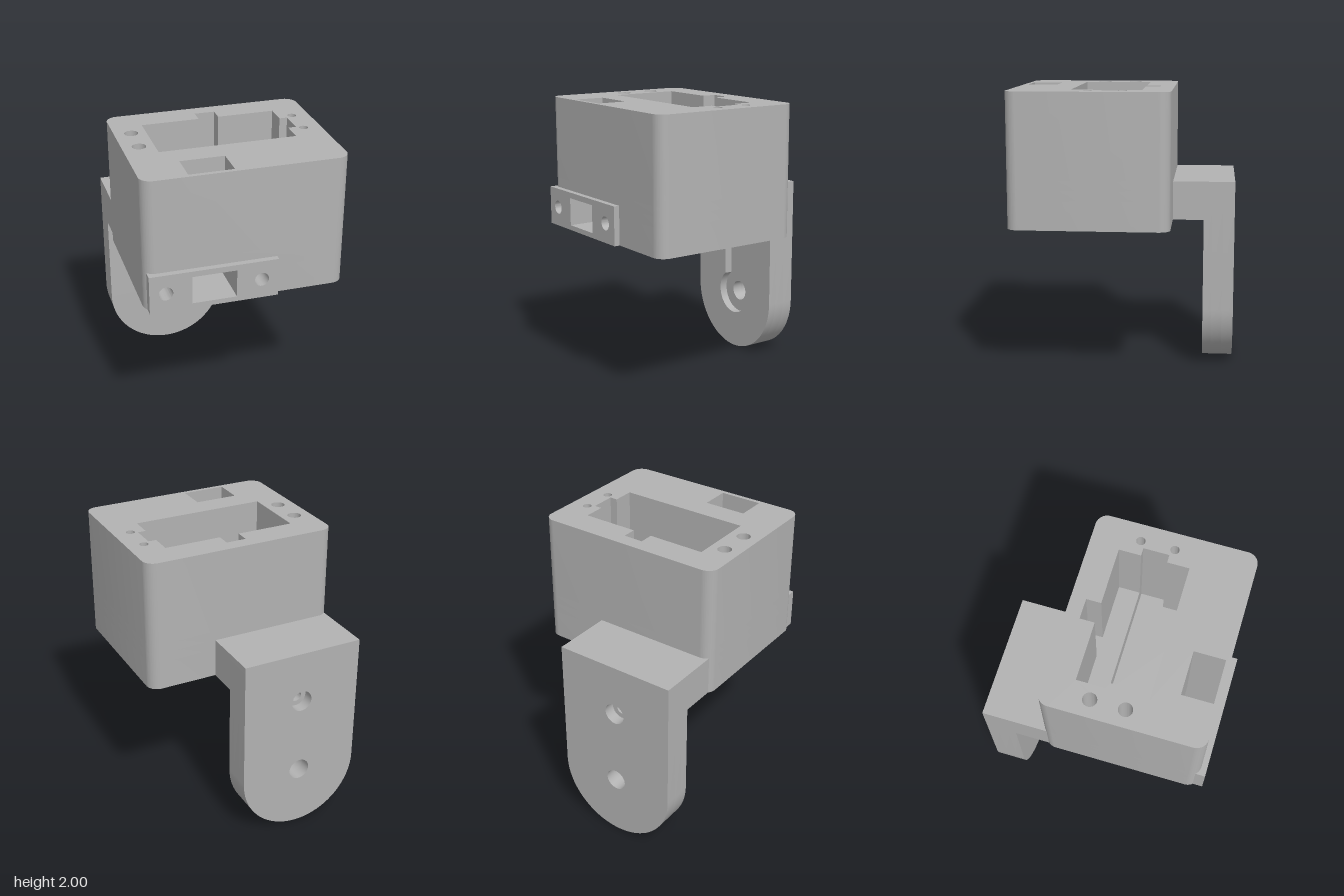
import * as THREE from 'three';
import { toCreasedNormals } from 'three/addons/utils/BufferGeometryUtils.js';

const PI = Math.PI;
const BASE = 1.085, BAND = 1.355, TOP = 2;      // heights of the housing
const LEFT = -0.665, RIGHT = 0.205, MID = -0.23; // bracket width and axis

const polygon = (pts, Type = THREE.Path) => new Type(pts.map(p => new THREE.Vector2(...p)));
const rect = (x0, y0, x1, y1, Type) => polygon([[x0, y0], [x1, y0], [x1, y1], [x0, y1]], Type);
const circle = (x, y, r) => new THREE.Path().absarc(x, y, r, 0, 2 * PI, false);

// Rounded housing outline in x/z; optional points cut a notch into its front
function outline(notch) {
  const x = 0.605, zf = 0.66, zb = -0.27, r = 0.08;
  const s = new THREE.Shape();
  s.absarc(-x, zf, r, notch ? Math.acos(-0.75) : PI / 2, PI, false);
  s.absarc(-x, zb, r, PI, 1.5 * PI, false);
  s.absarc(x, zb, r, 1.5 * PI, 2 * PI, false);
  s.absarc(x, zf, r, 0, PI / 2, false);
  if (notch) notch.forEach(p => s.lineTo(...p));
  return s;
}

export function createModel() {
  const model = new THREE.Group();
  model.name = 'servoBracket';
  const grey = new THREE.MeshStandardMaterial({ color: 0xb2b2b2 });
  grey.name = 'grey plastic';

  function extrude(shape, holes, depth) {
    shape.holes.push(...holes);
    return new THREE.ExtrudeGeometry(shape, { depth, bevelEnabled: false, curveSegments: 20 });
  }
  function add(parent, name, geometry) {
    const mesh = new THREE.Mesh(toCreasedNormals(geometry, 0.6), grey);
    mesh.name = name;
    parent.add(mesh);
  }
  // Slab with an x/z shape between two heights
  const slabY = (parent, name, shape, holes, y0, y1) =>
    add(parent, name, extrude(shape, holes, y1 - y0).rotateX(PI / 2).translate(0, y1, 0));
  // Slab with an x/y shape between two depths
  const slabZ = (parent, name, shape, holes, z0, z1) =>
    add(parent, name, extrude(shape, holes, z1 - z0).translate(0, 0, z0));

  // Housing: stacked slabs around the stepped servo cavity
  const housing = new THREE.Group();
  housing.name = 'housing';
  model.add(housing);
  const deepFloor = 1.285, mainFloor = 1.42;
  const deepCavity = [[0.465, 0.325], [0.465, 0.175], [0.52, 0.175], [0.52, 0], [-0.235, 0], [-0.235, 0.325]];
  const cavity = [[-0.47, -0.15], [-0.07, -0.15], [-0.07, -0.25], [0.07, -0.25], [0.07, -0.15],
    [0.465, -0.15], [0.465, 0], [0.52, 0], [0.52, 0.175], [0.465, 0.175], [0.465, 0.325], [-0.47, 0.325]];
  const cablePocket = () => rect(-0.38, 0.5, -0.08, 0.71);
  const notchStart = [[RIGHT, 0.74], [RIGHT, 0.325]], notchEnd = [[LEFT, 0.325]];

  slabY(housing, 'housingBase', outline([...notchStart, ...notchEnd]), [], BASE, deepFloor);
  slabY(housing, 'deepCavityWall', outline([...notchStart, ...deepCavity, ...notchEnd]), [], deepFloor, BAND);
  slabY(housing, 'cavityLedge', outline(), [polygon(deepCavity), cablePocket()], BAND, mainFloor);
  const screwHoles = [-0.03, 0.2].flatMap(z => [circle(-0.57, z, 0.047), circle(0.565, z, 0.03)]);
  slabY(housing, 'housingWall', outline(), [polygon(cavity), cablePocket(), ...screwHoles], mainFloor, TOP);

  // Front mounting block: cable tunnel meets the pocket from above, two screw holes
  const block = new THREE.Group();
  block.name = 'frontMount';
  model.add(block);
  for (const [z0, z1, open] of [[0.325, 0.5, false], [0.5, 0.71, true], [0.71, 0.78, false]]) {
    const holes = [];
    let shape;
    if (open) {
      shape = polygon([[LEFT, BASE], [RIGHT, BASE], [RIGHT, BAND], [-0.08, BAND], [-0.08, 1.12],
        [-0.38, 1.12], [-0.38, BAND], [LEFT, BAND]], THREE.Shape);
    } else {
      shape = rect(LEFT, BASE, RIGHT, BAND, THREE.Shape);
      holes.push(rect(-0.38, 1.12, -0.08, 1.315));
    }
    if (z0 > 0.4) holes.push(circle(-0.555, 1.22, 0.048), circle(0.09, 1.22, 0.048));
    slabZ(block, 'mountSection', shape, holes, z0, z1);
  }

  // Rear arm joining the housing to the hanging plate
  const arm = new THREE.Group();
  arm.name = 'rearArm';
  model.add(arm);
  slabZ(arm, 'armBridge', rect(LEFT, BASE, RIGHT, BAND, THREE.Shape), [], -0.565, -0.3);

  const plate = () => {
    const s = new THREE.Shape();
    s.moveTo(RIGHT, BAND).lineTo(LEFT, BAND);
    s.absarc(MID, 0.435, 0.435, PI, 2 * PI, false);
    return s;
  };
  // Keyhole recess for a servo horn
  const keyhole = new THREE.Path();
  const a = Math.acos(0.105 / 0.165);
  keyhole.absarc(MID, 0.435, 0.165, PI - a, 2 * PI + a, false);
  keyhole.absarc(MID, 0.979, 0.105, 0, PI, false);
  keyhole.closePath();

  const pivot = () => circle(MID, 0.435, 0.075);
  slabZ(arm, 'plateBack', plate(), [pivot(), circle(MID, 0.99, 0.075)], -0.78, -0.7);
  slabZ(arm, 'plateMiddle', plate(), [pivot(), circle(MID, 0.99, 0.04)], -0.7, -0.625);
  slabZ(arm, 'plateFront', plate(), [keyhole], -0.625, -0.565);

  return model;
}
